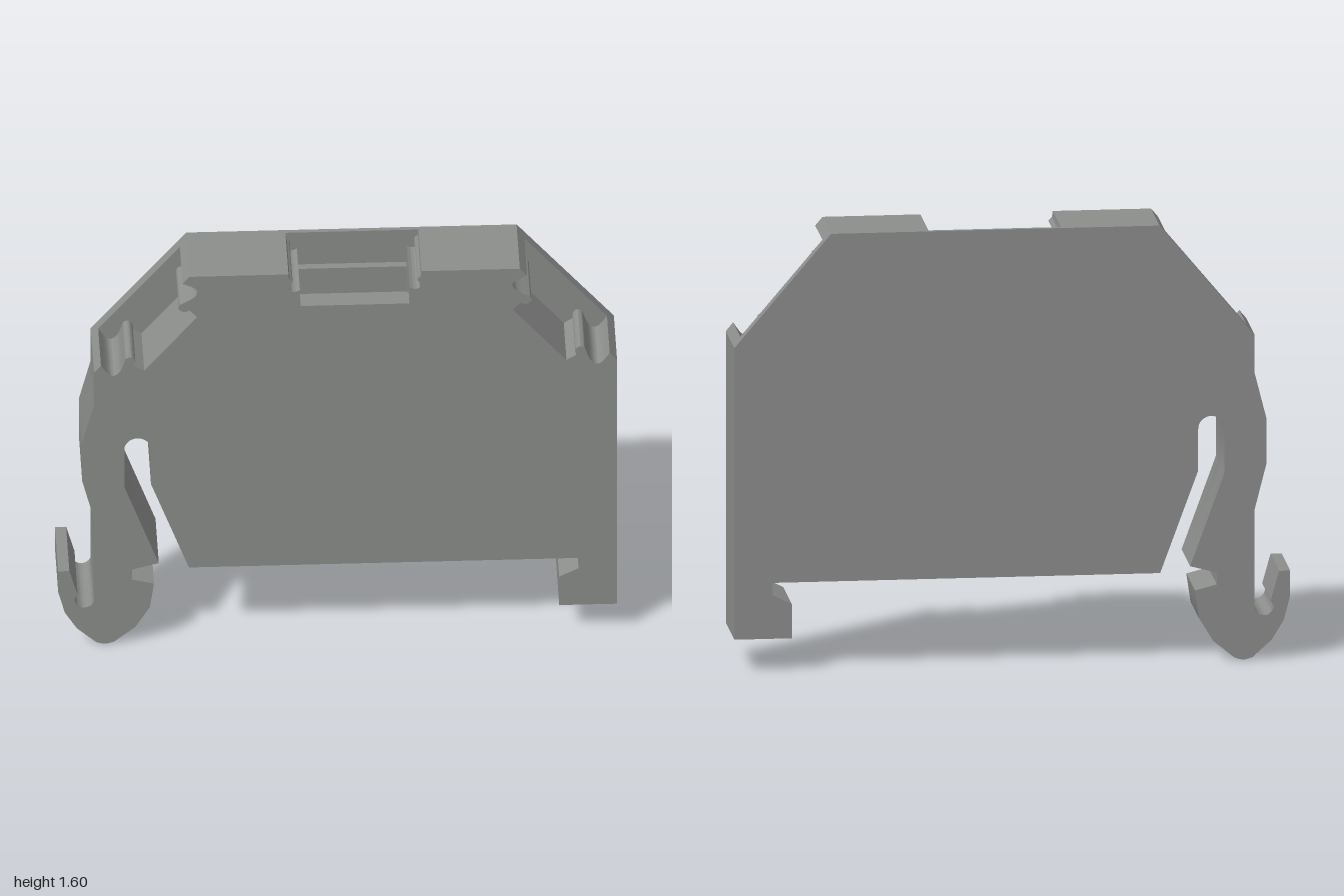
import * as THREE from 'three';
import { toCreasedNormals } from 'three/addons/utils/BufferGeometryUtils.js';

const V = (x, y) => new THREE.Vector2(x, y);
const smooth = (pts, n) => new THREE.SplineCurve(pts.map(p => V(...p))).getPoints(n);

// Half profiles of the marker grooves: [distance along edge, depth]
const CORNER = {
  lobe: [[-0.228, 0], [-0.239, 0.044], [-0.232, 0.066], [-0.203, 0.07], [-0.16, 0.055],
    [-0.149, 0.052], [-0.134, 0.061], [-0.136, 0.083], [-0.154, 0.095]],
  floor: [[-0.148, 0.135]],
};
const TOP = {
  lobe: [[-0.238, 0], [-0.235, 0.022], [-0.223, 0.035], [-0.232, 0.052], [-0.232, 0.07], [-0.215, 0.077], [-0.197, 0.07]],
  floor: [[-0.195, 0.14]],
};
const POCKET = { lobe: TOP.lobe, floor: [[-0.195, 0.14], [-0.195, 0.25]] };

// Symmetric groove points, cut inward from an edge running along (dx, dy)
function groove({ lobe, floor }, cx, cy, dx, dy) {
  const half = [...smooth(lobe, 32), ...floor.map(p => V(...p))];
  const all = [...half, ...half.map(p => V(-p.x, p.y)).reverse()];
  return all.map(p => V(cx + p.x * dx + p.y * dy, cy + p.x * dy - p.y * dx));
}

function arc(cx, cy, r, from, to) {
  return Array.from({ length: 17 }, (_, i) => {
    const a = from + (to - from) * i / 16;
    return V(cx + r * Math.cos(a), cy + r * Math.sin(a));
  });
}

// Clockwise outline of the housing, with optional grooves
function outline(top, corners) {
  const pts = [V(-0.53, 1.6)];
  const line = (...list) => list.forEach(p => pts.push(V(...p)));
  if (top) pts.push(...groove(top, 0.062, 1.6, 1, 0));
  line([0.652, 1.6]);
  if (corners) pts.push(...groove(CORNER, 0.826, 1.395, 0.647, -0.762));
  // right side and fixed foot
  line([1, 1.19], [1, 0.12], [0.793, 0.12], [0.793, 0.245], [0.862, 0.28], [0.862, 0.325], [-0.532, 0.325]);
  // spring slot
  line([-0.668, 0.695]);
  pts.push(...arc(-0.716, 0.85, 0.047, 0, Math.PI));
  line([-0.763, 0.685], [-0.64, 0.347], [-0.736, 0.322], [-0.736, 0.278], [-0.657, 0.258]);
  // latch foot and release hook
  line([-0.672, 0.155], [-0.724, 0.07], [-0.8, 0.008]);
  pts.push(...smooth([[-0.8, 0.008], [-0.832, 0], [-0.864, 0.008]], 8).slice(1));
  line([-0.933, 0.07], [-0.976, 0.14], [-1, 0.23], [-1, 0.322], [-0.96, 0.322], [-0.93, 0.215]);
  pts.push(...arc(-0.906, 0.195, 0.034, Math.PI * 0.85, Math.PI * 2));
  // flexible left arm
  line([-0.872, 0.55], [-0.914, 0.715], [-0.914, 0.885], [-0.872, 1.05], [-0.872, 1.19]);
  if (corners) pts.push(...groove(CORNER, -0.701, 1.395, 0.641, 0.768));
  return new THREE.Shape(pts);
}

export function createModel() {
  const group = new THREE.Group();
  const grey = new THREE.MeshStandardMaterial({ color: 0x8c8e8c });
  grey.name = 'housingGrey';

  // Housing layers from back to front
  const layers = [
    ['backCover', -0.137, -0.12, null, false],
    ['backPlate', -0.12, -0.092, TOP, false],
    ['pocketBody', -0.092, 0.07, POCKET, true],
    ['frontPlate', 0.07, 0.137, TOP, true],
  ];
  for (const [name, z0, z1, top, corners] of layers) {
    const geo = new THREE.ExtrudeGeometry(outline(top, corners), { depth: z1 - z0, bevelEnabled: false });
    const mesh = new THREE.Mesh(toCreasedNormals(geo, 0.5), grey);
    mesh.name = name;
    mesh.position.z = z0;
    group.add(mesh);
  }
  return group;
}
